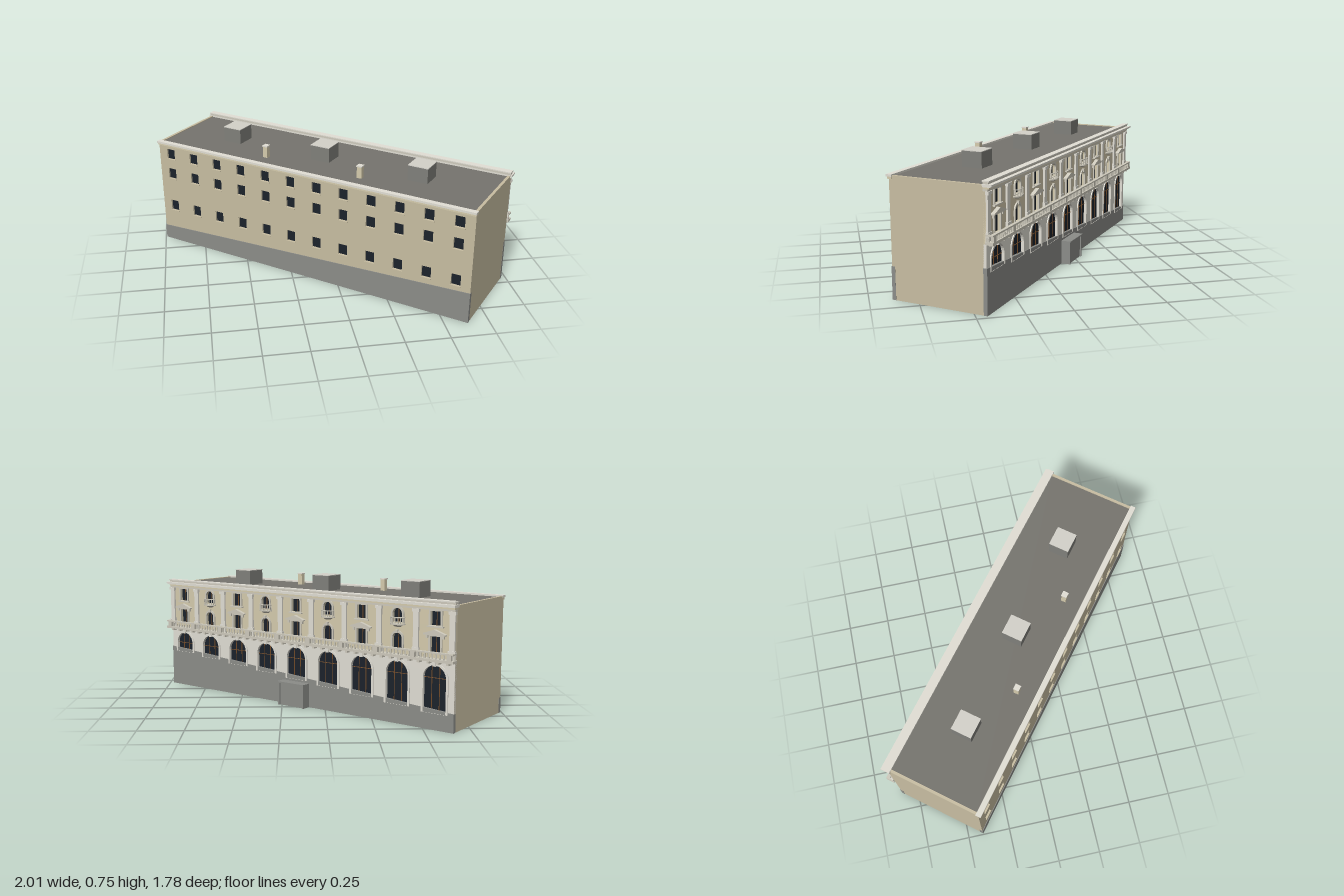
import * as THREE from 'three';

const L = 2.07, D = 0.552, BAYS = 9, PITCH = L / BAYS, T = 0.016;
const mat = (color, side = THREE.FrontSide) => new THREE.MeshStandardMaterial({ color, side });
const tan = mat(0xc8bea2), cream = mat(0xd6ccae), stone = mat(0xe2dfd5), plinthGrey = mat(0x8c8d89);
const roofGrey = mat(0x76746e), glass = mat(0x1b222b), bronze = mat(0x80552f);
const boxGrey = mat(0x80807b), lidGrey = mat(0xd4d2ca), trim = mat(0xcfcbbd);

function add(parent, name, geometry, material, x = 0, y = 0, z = 0) {
  const m = new THREE.Mesh(geometry, material);
  m.name = name;
  m.position.set(x, y, z);
  parent.add(m);
  return m;
}

// box from its bottom y0 to top y1 and back z0 to front z1
function block(parent, name, material, x, w, y0, y1, z0, z1) {
  return add(parent, name, new THREE.BoxGeometry(w, y1 - y0, z1 - z0), material, x, (y0 + y1) / 2, (z0 + z1) / 2);
}

// upright opening outline, square or round headed
function opening(x, w, y0, y1, round, Type = THREE.Shape) {
  const s = new Type(), r = w / 2;
  s.moveTo(x - r, y0);
  s.lineTo(x + r, y0);
  if (round) {
    s.lineTo(x + r, y1 - r);
    s.absarc(x, y1 - r, r, 0, Math.PI, false);
  } else {
    s.lineTo(x + r, y1);
    s.lineTo(x - r, y1);
  }
  s.closePath();
  return s;
}

function polygon(points) {
  return new THREE.Shape(points.map(([x, y]) => new THREE.Vector2(x, y)));
}

function slab(parent, name, shape, material, z0, z1) {
  const g = new THREE.ExtrudeGeometry(shape, { depth: z1 - z0, bevelEnabled: false, curveSegments: 8 });
  return add(parent, name, g, material, 0, 0, z0);
}

// wall panel pierced by openings, each closed by a set-back pane
function piercedWall(parent, name, material, y0, y1, openings) {
  const wall = opening(0, L, y0, y1, false);
  for (const o of openings) {
    wall.holes.push(opening(o.x, o.w, o.y0, o.y1, o.round, THREE.Path));
    slab(parent, 'windowPane', opening(o.x, o.w, o.y0, o.y1, o.round), glass, -T, -T + 0.005);
  }
  slab(parent, name, wall, material, -T, 0);
}

function frame(parent, o, t, depth, material) {
  const s = opening(o.x, o.w + 2 * t, o.y0, o.y1 + t, o.round);
  s.holes.push(opening(o.x, o.w, o.y0 + 0.0005, o.y1, o.round, THREE.Path));
  slab(parent, 'windowSurround', s, material, -0.001, depth);
}

// sloping ground-level plinth
function plinth(parent, yLeft, yRight) {
  const h = L / 2 + 0.001;
  slab(parent, 'plinth', polygon([[-h, 0], [h, 0], [h, yRight], [-h, yLeft]]), plinthGrey, -T - 0.002, 0.004);
}

function plainFacade() {
  const g = new THREE.Group();
  g.name = 'plainFacade';
  const list = [];
  for (let i = 0; i < 12; i++) {
    const x = (i - 5.5) * L / 12;
    for (const [y0, y1] of [[0.21, 0.278], [0.43, 0.497], [0.56, 0.625]]) {
      list.push({ x, w: 0.056, y0, y1 });
      block(g, 'windowSill', tan, x, 0.062, y0 - 0.005, y0, -0.002, 0.005);
    }
  }
  piercedWall(g, 'plainWall', tan, 0, 0.655, list);
  plinth(g, 0.088, 0.184);
  block(g, 'lowerCornice', cream, 0, L + 0.004, 0.645, 0.658, -T, 0.008);
  block(g, 'upperCornice', stone, 0, L + 0.008, 0.658, 0.67, -T, 0.016);
  return g;
}

// half-round balcony in front of an upper window
function smallBalcony(parent, x) {
  const y = 0.538;
  const half = (r, h, yy, name) => {
    const m = add(parent, name, new THREE.CylinderGeometry(r, r * (name === 'balconyCorbel' ? 0.5 : 1), h, 14, 1, false, -Math.PI / 2, Math.PI), trim, x, yy, 0);
    m.scale.z = 0.7;
  };
  half(0.036, 0.012, y - 0.004, 'balconyCorbel');
  half(0.046, 0.007, y + 0.005, 'balconyFloor');
  const rail = new THREE.TorusGeometry(0.042, 0.0035, 4, 14, Math.PI).rotateX(Math.PI / 2);
  add(parent, 'balconyRail', rail, trim, x, y + 0.041, 0).scale.z = 0.7;
  for (let k = 0; k <= 8; k++) {
    const a = Math.PI * k / 8;
    add(parent, 'balconyBaluster', new THREE.CylinderGeometry(0.0028, 0.0028, 0.034, 5), trim,
      x + 0.042 * Math.cos(a), y + 0.024, 0.0294 * Math.sin(a));
  }
}

function ornateFacade() {
  const g = new THREE.Group();
  g.name = 'ornateFacade';
  const ground = (x) => 0.174 - x * 0.0705;
  const low = [], high = [];
  for (let i = 0; i < BAYS; i++) {
    const x = (i - 4) * PITCH, odd = i % 2 === 1;

    // tall ground-floor arch with glazing bars
    const arch = { x, w: 0.136, y0: ground(x) - 0.02, y1: 0.345, round: true };
    low.push(arch);
    frame(g, arch, 0.012, 0.006, stone);
    block(g, 'keystone', stone, x, 0.018, 0.34, 0.364, 0, 0.012);
    for (const s of [-1, 1]) block(g, 'glazingBar', bronze, x + s * 0.023, 0.003, arch.y0, 0.337, -0.012, -0.008);
    block(g, 'transom', bronze, x, 0.134, 0.275, 0.278, -0.012, -0.008);

    // two upper windows
    const mid = { x, w: 0.058, y0: 0.405, y1: 0.497, round: odd };
    const top = { x, w: 0.058, y0: 0.553, y1: 0.628, round: odd };
    for (const o of [mid, top]) {
      high.push(o);
      frame(g, o, 0.011, 0.008, trim);
      block(g, 'glazingBar', bronze, x, 0.003, o.y0, o.y1, -0.012, -0.008);
    }
    if (odd) {
      smallBalcony(g, x);
      block(g, 'keystone', trim, x, 0.014, 0.495, 0.514, 0, 0.014);
    } else {
      block(g, 'pedimentBase', trim, x, 0.13, 0.504, 0.511, 0, 0.02);
      slab(g, 'pediment', polygon([[x - 0.068, 0.511], [x + 0.068, 0.511], [x, 0.534]]), trim, 0, 0.022);
      block(g, 'windowSill', trim, x, 0.095, 0.544, 0.551, 0, 0.014);
      for (const s of [-1, 1]) block(g, 'pedimentBracket', trim, x + s * 0.048, 0.012, 0.487, 0.504, 0, 0.013);
    }

    // long balcony balusters and supporting brackets
    for (let k = 1; k < 10; k++) {
      add(g, 'baluster', new THREE.CylinderGeometry(0.0035, 0.005, 0.03, 6), trim, x + (k / 10 - 0.5) * PITCH, 0.399, 0.033);
    }
    for (const s of [-1.5, -0.5, 0.5, 1.5]) block(g, 'balconyBracket', trim, x + s * PITCH / 4, 0.014, 0.356, 0.372, 0, 0.03);
  }
  piercedWall(g, 'groundFloorWall', stone, 0, 0.37, low);
  piercedWall(g, 'upperWall', cream, 0.37, 0.655, high);
  plinth(g, ground(-L / 2), ground(L / 2));

  // pilasters between the bays
  for (let i = 0; i <= BAYS; i++) {
    const w = 0.032, x = THREE.MathUtils.clamp((i - 4.5) * PITCH, -L / 2 + w / 2, L / 2 - w / 2);
    block(g, 'pilaster', stone, x, w, 0.385, 0.62, 0, 0.011);
    block(g, 'pilasterBase', stone, x, w + 0.01, 0.385, 0.43, 0, 0.015);
    block(g, 'pilasterCapital', stone, x, w + 0.01, 0.618, 0.634, 0, 0.017);
    block(g, 'balustradePedestal', trim, x, 0.026, 0.384, 0.417, 0.024, 0.042);
  }

  // long balcony
  block(g, 'balconySlab', trim, 0, L + 0.02, 0.37, 0.384, -0.001, 0.043);
  block(g, 'balconyHandrail', trim, 0, L + 0.02, 0.413, 0.421, 0.025, 0.043);
  for (const s of [-1, 1]) {
    block(g, 'balconyEndRail', trim, s * (L / 2 + 0.003), 0.012, 0.413, 0.421, 0, 0.043);
    for (const z of [0.006, 0.017]) add(g, 'baluster', new THREE.CylinderGeometry(0.0035, 0.005, 0.03, 6), trim, s * (L / 2 + 0.003), 0.399, z);
  }

  // entablature and parapet
  block(g, 'architrave', trim, 0, L + 0.002, 0.634, 0.645, -T, 0.012);
  block(g, 'frieze', cream, 0, L + 0.002, 0.645, 0.655, -T, 0.018);
  block(g, 'cornice', stone, 0, L + 0.014, 0.655, 0.662, -T, 0.03);
  block(g, 'corniceEdge', stone, 0, L + 0.02, 0.662, 0.67, -T, 0.038);
  block(g, 'parapet', trim, 0, L + 0.004, 0.67, 0.681, -T, 0.014);
  block(g, 'parapetCap', stone, 0, L + 0.008, 0.681, 0.687, -T - 0.003, 0.02);

  // entrance porch
  for (const s of [-1, 1]) block(g, 'porchSide', plinthGrey, s * 0.088, 0.012, 0, 0.132, 0, 0.058);
  block(g, 'porchDoor', plinthGrey, 0, 0.166, 0, 0.132, 0.03, 0.05);
  block(g, 'porchRoof', plinthGrey, 0, 0.194, 0.132, 0.141, 0, 0.062);
  return g;
}

export function createModel() {
  const model = new THREE.Group();
  model.name = 'building';
  const body = new THREE.Group();
  body.name = 'rotatedBody';
  body.rotation.y = -Math.atan2(0.6225, 0.7826);
  body.position.set(-0.008, 0, 0.015);
  model.add(body);

  const plain = plainFacade(), ornate = ornateFacade();
  plain.position.z = D / 2;
  ornate.position.z = -D / 2;
  ornate.rotation.y = Math.PI;
  body.add(plain, ornate);

  // blank end walls and roof deck
  for (const s of [-1, 1]) block(body, 'endWall', tan, s * (L / 2 - T / 2), T, 0, 0.665, -D / 2 + 0.001, D / 2 - 0.001);
  block(body, 'roofDeck', roofGrey, 0, L - 2 * T, 0.645, 0.66, -D / 2 + T, D / 2 - T);

  // rooftop housings and chimneys
  for (const i of [-1, 0, 1]) {
    block(body, 'roofHousing', boxGrey, i * 0.621 - 0.012, 0.12, 0.655, 0.748, -0.06, 0.06);
    block(body, 'roofHousingLid', lidGrey, i * 0.621 - 0.012, 0.122, 0.748, 0.752, -0.061, 0.061);
  }
  for (const s of [-1, 1]) {
    block(body, 'chimney', cream, s * 0.312 - 0.009, 0.029, 0.655, 0.727, 0.142, 0.171);
    block(body, 'chimneyCap', stone, s * 0.312 - 0.009, 0.034, 0.727, 0.734, 0.1395, 0.1735);
  }
  return model;
}
